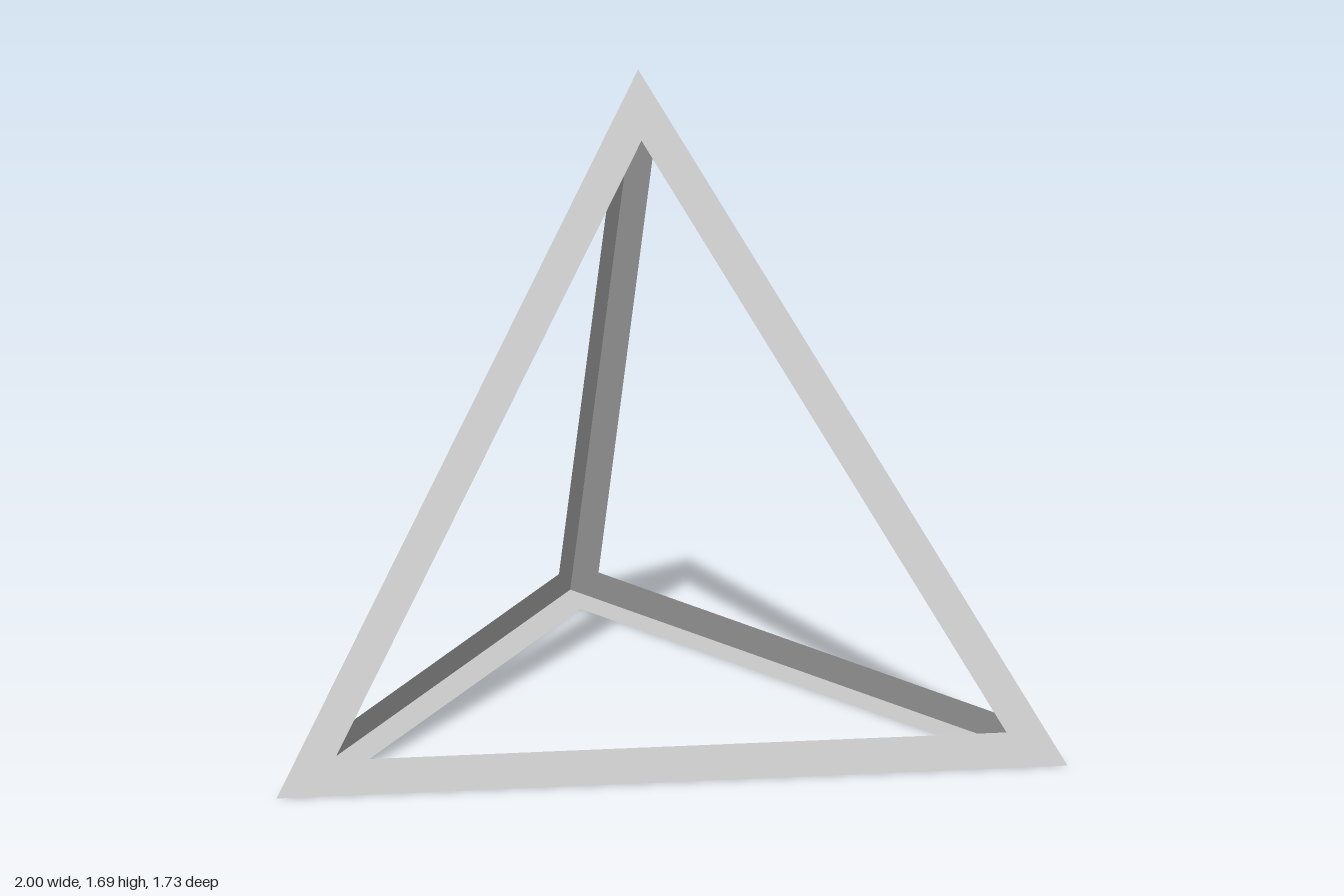
import * as THREE from 'three';

const HOLE = 0.85; // size of each opening relative to its face

// Thin triangular panel with a smaller triangular opening about its centroid
function framePanel(corners) {
  const centre = new THREE.Vector3();
  corners.forEach((c) => centre.addScaledVector(c, 1 / 3));
  const inner = corners.map((c) => centre.clone().lerp(c, HOLE));
  const points = [];
  for (let i = 0; i < 3; i++) {
    const j = (i + 1) % 3;
    points.push(corners[i], corners[j], inner[j], corners[i], inner[j], inner[i]);
  }
  const geometry = new THREE.BufferGeometry().setFromPoints(points);
  geometry.computeVertexNormals();
  return geometry;
}

export function createModel() {
  const group = new THREE.Group();
  group.name = 'tetrahedronFrame';
  const material = new THREE.MeshStandardMaterial({
    color: 0xcccccc, flatShading: true, side: THREE.DoubleSide,
  });

  // Corners of the pyramid
  const right = new THREE.Vector3(-1, 0, 0.866);
  const left = new THREE.Vector3(1, 0, 0.866);
  const back = new THREE.Vector3(0, 0, -0.866);
  const apex = new THREE.Vector3(0, 1.69, 0.289);

  // Four open faces, wound counter-clockwise from outside
  const panels = {
    frontPanel: [right, left, apex],
    leftPanel: [left, back, apex],
    rightPanel: [back, right, apex],
    basePanel: [right, back, left],
  };
  for (const [name, corners] of Object.entries(panels)) {
    const mesh = new THREE.Mesh(framePanel(corners), material);
    mesh.name = name;
    group.add(mesh);
  }
  return group;
}
